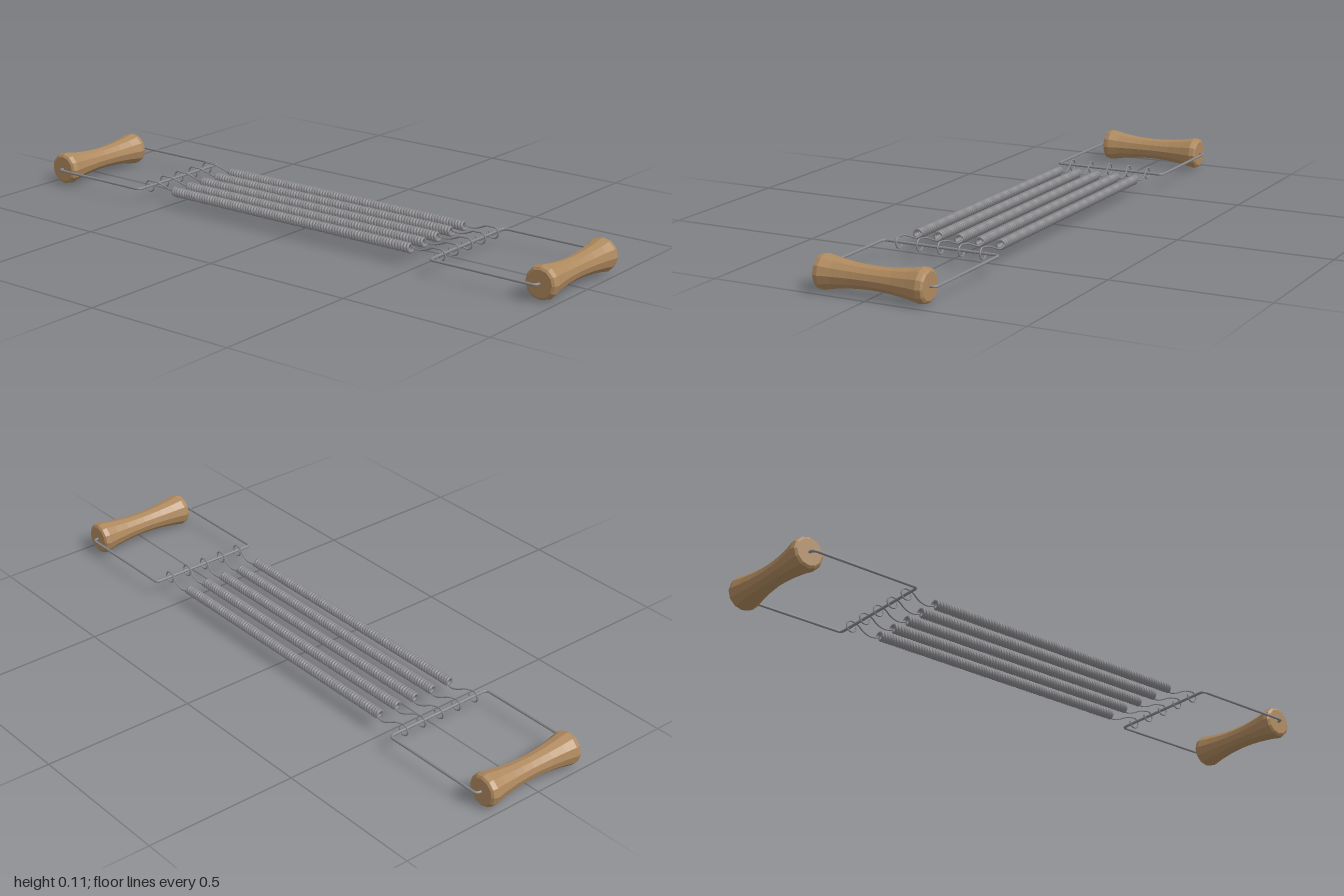
import * as THREE from 'three';

const AXIS_Y = 0.054;
const wood = new THREE.MeshStandardMaterial({ color: 0xae895e });
wood.name = 'wood';
wood.flatShading = true;
const steel = new THREE.MeshStandardMaterial({ color: 0x88888c });
steel.name = 'steel';

const v = (x, y, z) => new THREE.Vector3(x, y, z);

function part(name, geometry, material) {
  const mesh = new THREE.Mesh(geometry, material);
  mesh.name = name;
  return mesh;
}

// Tight helix along x
class Helix extends THREE.Curve {
  constructor(length, radius, turns) {
    super();
    Object.assign(this, { length, radius, turns });
  }
  getPoint(t, target = new THREE.Vector3()) {
    const a = t * this.turns * Math.PI * 2;
    return target.set((t - 0.5) * this.length, Math.sin(a) * this.radius, -Math.cos(a) * this.radius);
  }
  getPointAt(t, target) { return this.getPoint(t, target); }
  getTangentAt(t, target) { return this.getTangent(t, target); }
}

// Turned grip, waisted in the middle
function gripGeometry() {
  const half = [[0.177, 0.042], [0.172, 0.0495], [0.157, 0.053], [0.14, 0.0495], [0.12, 0.0455], [0.07, 0.039], [0.035, 0.0365]];
  const points = [
    [0, -0.177], ...half.map(([z, r]) => [r, -z]), [0.0355, 0],
    ...half.slice().reverse().map(([z, r]) => [r, z]), [0, 0.177],
  ].map(([r, h]) => new THREE.Vector2(r, h));
  return new THREE.LatheGeometry(points, 12).rotateX(Math.PI / 2);
}

// Rectangular wire bow with rounded corners, running through the grip
function bowGeometry() {
  const corners = [v(0.947, 0, -0.194), v(0.58, 0, -0.194), v(0.58, 0, 0.194), v(0.947, 0, 0.194)];
  const path = new THREE.CurvePath();
  const bend = 0.016;
  let last = v(0.947, 0, 0);
  corners.forEach((c, i) => {
    const next = corners[i + 1] || v(0.947, 0, 0);
    const a = c.clone().add(last.clone().sub(c).setLength(bend));
    const b = c.clone().add(next.clone().sub(c).setLength(bend));
    path.add(new THREE.LineCurve3(last, a));
    path.add(new THREE.QuadraticBezierCurve3(a, c, b));
    last = b;
  });
  path.add(new THREE.LineCurve3(last, v(0.947, 0, 0)));
  return new THREE.TubeGeometry(path, 400, 0.0045, 10);
}

// Wavy wire leaving the spring and curling round the bow
function hookGeometry() {
  const points = [v(0.47, 0, -0.0118), v(0.485, -0.004, -0.0125), v(0.503, -0.004, -0.014),
    v(0.527, 0.004, -0.013), v(0.55, 0.014, -0.006)];
  for (let i = 0; i <= 8; i++) {
    const a = THREE.MathUtils.degToRad(110 - i * 37);
    points.push(v(0.58 + 0.018 * Math.cos(a), 0.018 * Math.sin(a), 0));
  }
  return new THREE.TubeGeometry(new THREE.CatmullRomCurve3(points), 48, 0.0026, 8);
}

export function createModel() {
  const model = new THREE.Group();
  model.name = 'chestExpander';
  const grip = gripGeometry(), bow = bowGeometry(), hook = hookGeometry();
  const coil = new THREE.TubeGeometry(new Helix(0.95, 0.0118, 88), 1056, 0.005, 8);

  for (const side of [1, -1]) {
    const handle = new THREE.Group();
    handle.name = side > 0 ? 'leftHandle' : 'rightHandle';
    const gripMesh = part('grip', grip, wood);
    gripMesh.position.x = 0.947;
    handle.add(gripMesh, part('wireBow', bow, steel));
    handle.scale.x = side;
    handle.position.y = AXIS_Y;
    model.add(handle);
  }

  // Five parallel springs with a hook at each end
  for (let i = -2; i <= 2; i++) {
    const spring = new THREE.Group();
    spring.name = 'spring';
    spring.position.set(0, AXIS_Y, i * 0.07);
    const leftHook = part('leftHook', hook, steel);
    const rightHook = part('rightHook', hook, steel);
    rightHook.scale.x = -1;
    spring.add(part('coil', coil, steel), leftHook, rightHook);
    model.add(spring);
  }
  return model;
}
